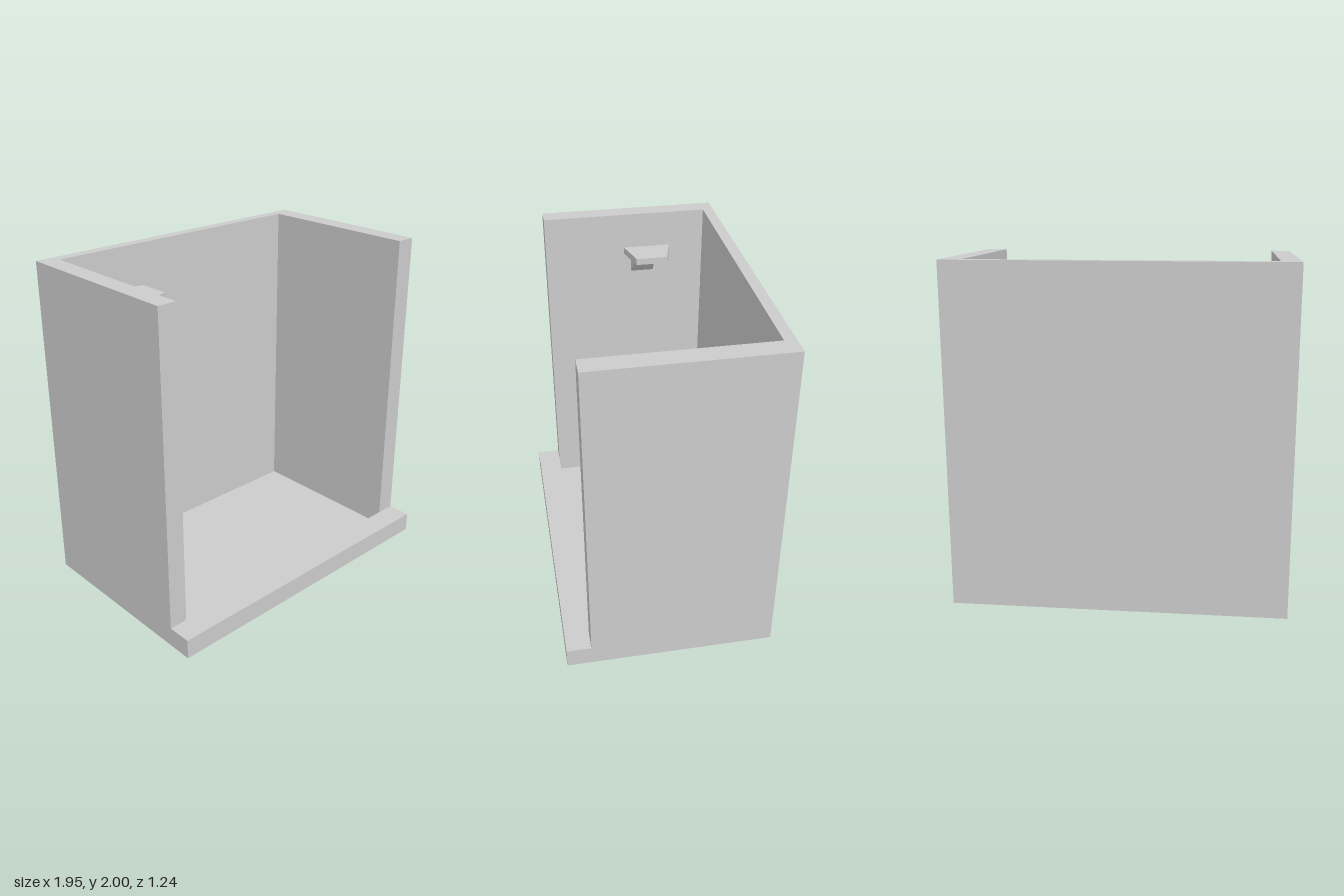
import * as THREE from 'three';

const material = new THREE.MeshStandardMaterial({ color: 0xcccccc });

function add(parent, name, geometry) {
  const mesh = new THREE.Mesh(geometry, material);
  mesh.name = name;
  parent.add(mesh);
}

// Box from its minimum and maximum corners
function box(min, max) {
  const size = max.map((v, i) => v - min[i]);
  return new THREE.BoxGeometry(...size).translate(...min.map((v, i) => v + size[i] / 2));
}

// Tapered block along x between two upright rectangles { x, y: [lo, hi], z: [lo, hi] }
function taper(a, b) {
  const geometry = new THREE.BoxGeometry(1, 1, 1);
  const p = geometry.attributes.position;
  for (let i = 0; i < p.count; i++) {
    const end = p.getX(i) < 0 ? a : b;
    p.setXYZ(i, end.x, end.y[p.getY(i) < 0 ? 0 : 1], end.z[p.getZ(i) < 0 ? 0 : 1]);
  }
  geometry.computeVertexNormals();
  return geometry;
}

export function createModel() {
  const model = new THREE.Group();
  model.name = 'showerStall';

  const halfW = 0.973, back = -0.617, wallFront = 0.47, curbFront = 0.615;
  const innerL = -0.862, innerR = 0.853, innerBack = -0.552;

  // Three walls as one U-shaped plan, open at the front
  const plan = new THREE.Shape([
    [-halfW, wallFront], [innerL, wallFront], [innerL, innerBack], [innerR, innerBack],
    [innerR, wallFront], [halfW, wallFront], [halfW, back], [-halfW, back],
  ].map(([x, z]) => new THREE.Vector2(x, -z)));
  const walls = new THREE.ExtrudeGeometry(plan, { depth: 2, bevelEnabled: false });
  add(model, 'walls', walls.rotateX(-Math.PI / 2));

  // Sunken floor behind a raised curb
  add(model, 'floor', box([innerL, 0, innerBack], [innerR, 0.03, wallFront]));
  add(model, 'curb', box([-halfW, 0, wallFront], [halfW, 0.12, curbFront]));

  // Shower arm rising from the wall, and the flat head at its end
  const shower = new THREE.Group();
  shower.name = 'shower';
  model.add(shower);
  add(shower, 'showerArm', taper(
    { x: innerL, y: [1.61, 1.73], z: [-0.23, -0.08] },
    { x: -0.7, y: [1.81, 1.85], z: [-0.2, -0.11] }));
  add(shower, 'showerHead', taper(
    { x: -0.7, y: [1.81, 1.85], z: [-0.3, -0.01] },
    { x: -0.517, y: [1.81, 1.85], z: [-0.25, -0.06] }));

  // The stall stands very slightly turned
  model.rotation.y = 0.0045;
  return model;
}
